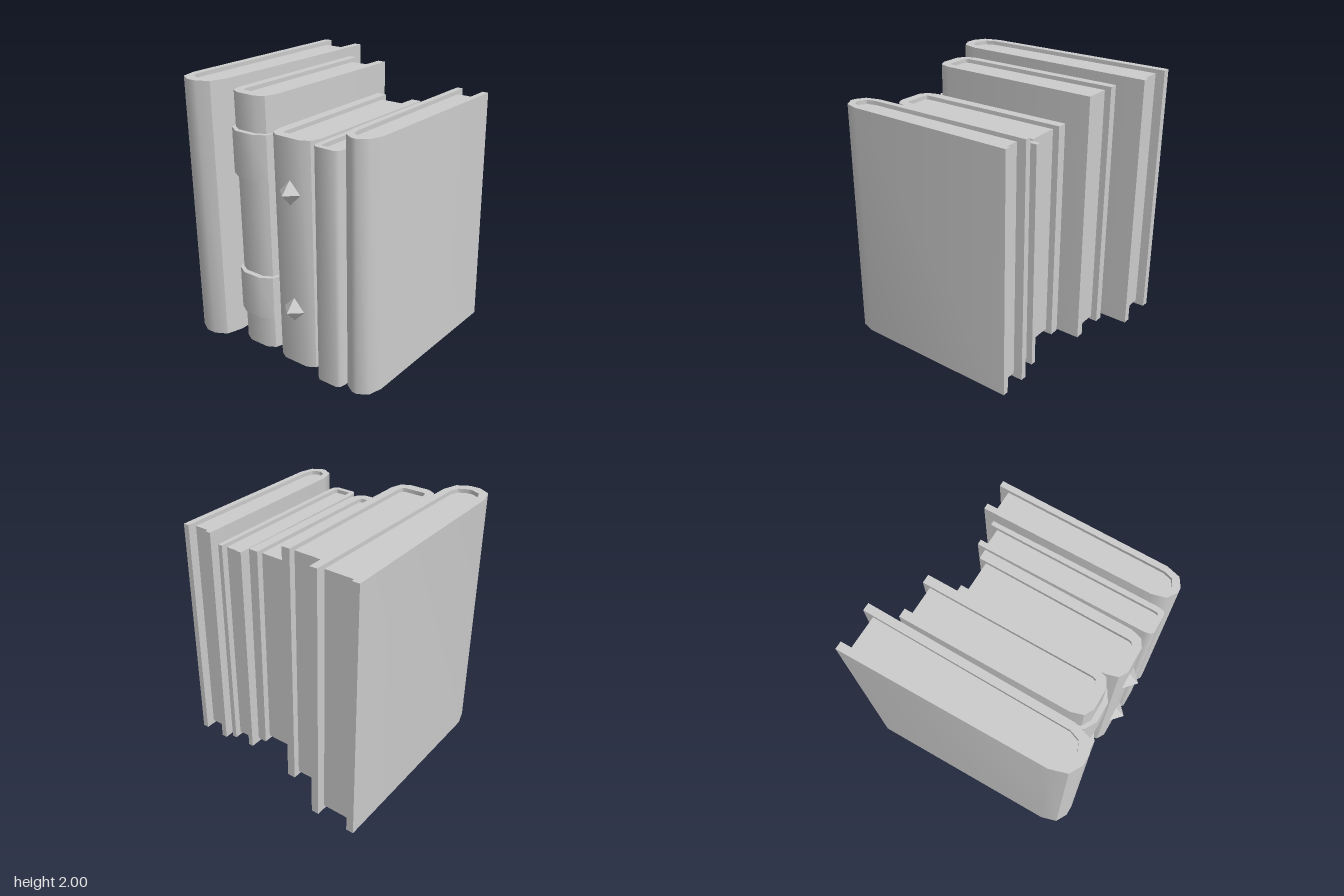
import * as THREE from 'three';
import { toCreasedNormals } from 'three/addons/utils/BufferGeometryUtils.js';

const material = new THREE.MeshStandardMaterial({ color: 0xcccccc });

// corner: width and depth of the rounded spine edge, outside; pageCorner: the same, inside.
const BOOKS = [
  { name: 'tallBook', x: [-0.84, -0.475], y: [0.02, 2], z: [-0.86, 0.84], lean: 0.008, taper: 0.017,
    cover: 0.058, spine: 0.07, corner: [0.125, 0.17], pageCorner: [0.09, 0.1], pageGap: 0.07 },
  { name: 'bandedBook', x: [-0.435, -0.088], y: [0.01, 1.94], z: [-0.66, 0.725], lean: 0.01, taper: 0.004,
    cover: 0.065, spine: 0.075, corner: [0.09, 0.12], pageCorner: [0.03, 0.035], pageGap: 0.05 },
  { name: 'studdedBook', x: [-0.04, 0.35], y: [0.04, 1.73], z: [-0.5, 0.78], lean: 0.012, taper: 0.011,
    cover: 0.075, spine: 0.07, corner: [0.085, 0.12], pageCorner: [0.025, 0.03], pageGap: 0.05 },
  { name: 'thinBook', x: [0.36, 0.578], y: [0, 1.725], z: [-0.57, 0.8], lean: 0.006, taper: 0.003,
    cover: 0.04, spine: 0.04, corner: [0.03, 0.06], pageCorner: [0.012, 0.03], pageGap: 0.05 },
  { name: 'rightBook', x: [0.575, 0.83], y: [0.03, 1.84], z: [-0.64, 0.81], lean: 0.01, taper: 0.008,
    cover: 0.045, spine: 0.055, corner: [0.1, 0.15], pageCorner: [0.07, 0.095], pageGap: 0.07 },
];

// Plan outline from the left back corner, round the spine, to the right back corner.
function outline([x0, x1], [back, front], [cornerX, cornerZ], taper) {
  const middle = (x0 + x1) / 2;
  const left = [[x0, back]];
  for (let i = 0; i <= 2; i++) {
    const a = i * Math.PI / 4;
    left.push([x0 + taper + cornerX * (1 - Math.cos(a)), front - cornerZ * (1 - Math.sin(a))]);
  }
  const right = left.map(([x, z]) => [2 * middle - x, z]).reverse();
  return [...left, ...right];
}

// Raises a plan outline between two heights and tilts it sideways.
function prism(name, points, [y0, y1], lean) {
  const shape = new THREE.Shape(points.map(([x, z]) => new THREE.Vector2(x, -z)));
  const geometry = new THREE.ExtrudeGeometry(shape, { depth: y1 - y0, bevelEnabled: false });
  geometry.rotateX(-Math.PI / 2).translate(0, y0, 0);
  const p = geometry.attributes.position;
  for (let i = 0; i < p.count; i++) p.setX(i, p.getX(i) + lean * (1 - p.getY(i)));
  const mesh = new THREE.Mesh(toCreasedNormals(geometry, 0.75), material);
  mesh.name = name;
  return mesh;
}

// A U-shaped cover around a slightly smaller block of pages
function makeBook({ name, x, y, z, lean, taper, cover, spine, corner, pageCorner, pageGap }) {
  const book = new THREE.Group();
  book.name = name;
  const insideX = [x[0] + cover, x[1] - cover];
  const front = z[1] - spine;
  const outside = outline(x, z, corner, taper);
  const inside = outline(insideX, [z[0], front], pageCorner, taper);
  const pages = outline(insideX, [z[0] + pageGap, front], pageCorner, taper);
  book.add(prism('cover', [...outside, ...inside.reverse()], y, lean));
  book.add(prism('pages', pages, [y[0] + 0.03, y[1] - 0.03], lean));
  return book;
}

export function createModel() {
  const model = new THREE.Group();
  model.name = 'rowOfBooks';
  const books = BOOKS.map(makeBook);
  model.add(...books);

  // Spine bands with a round rivet on each side
  const bandOutline = outline([-0.457, -0.058], [0.22, 0.765], [0.12, 0.17], 0.005);
  for (const [low, high, shift] of [[0.275, 0.605, 0.005], [1.35, 1.68, -0.005]]) {
    books[1].add(prism('spineBand', bandOutline, [low, high], 0.01));
    for (const side of [-1, 1]) {
      const rivet = new THREE.Mesh(new THREE.CylinderGeometry(0.085, 0.108, 0.06, 16), material);
      rivet.name = 'bandRivet';
      rivet.rotation.z = -side * Math.PI / 2;
      rivet.position.set(-0.262 + shift + side * 0.204, (low + high) / 2 + 0.005, 0.405);
      books[1].add(rivet);
    }
  }

  // Pyramid studs on the spine
  for (const [x, y] of [[0.152, 1.35], [0.164, 0.475]]) {
    const stud = new THREE.Mesh(new THREE.OctahedronGeometry(0.092), material);
    stud.name = 'spineStud';
    stud.scale.z = 0.9;
    stud.position.set(x, y, 0.778);
    books[2].add(stud);
  }
  return model;
}
